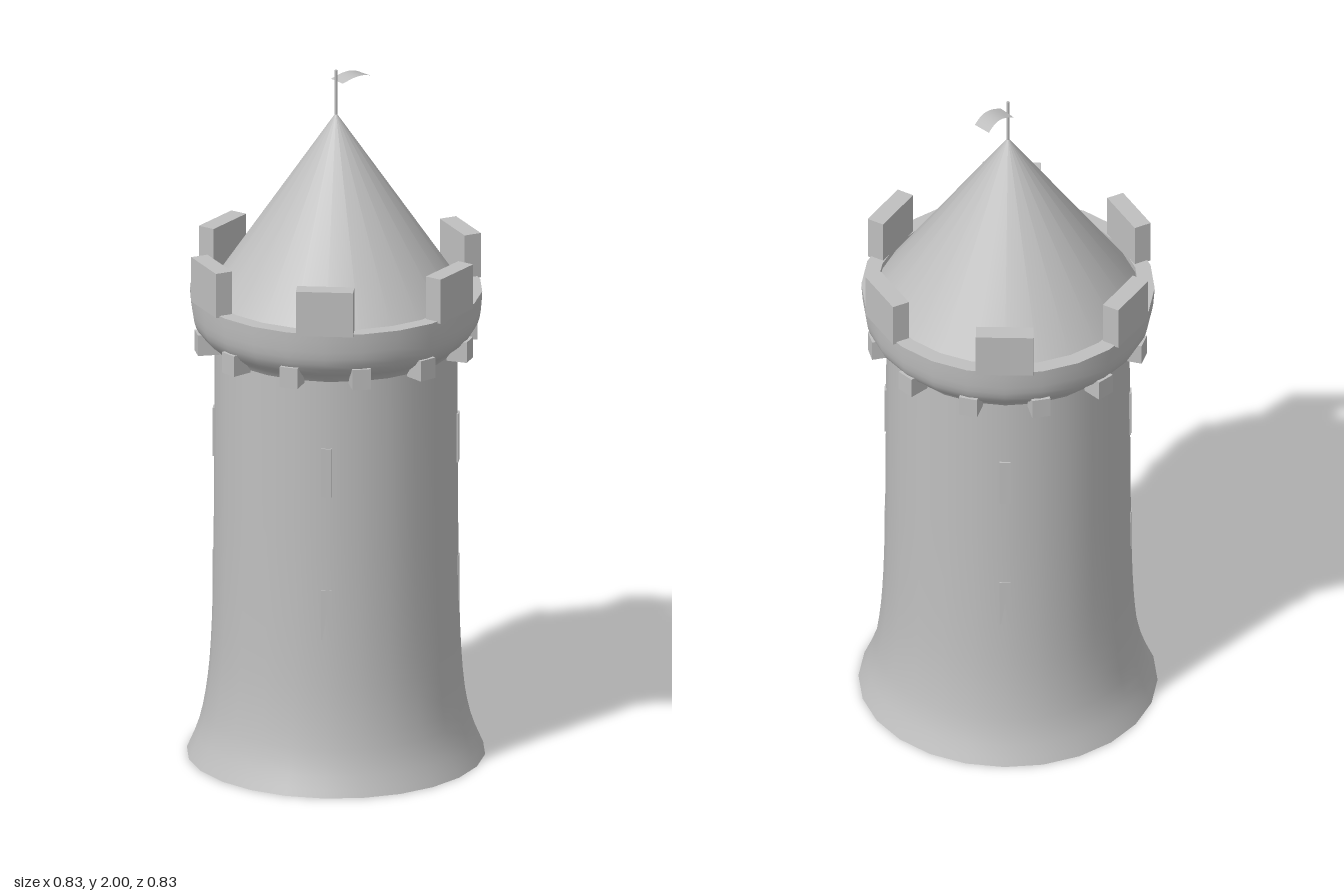
import * as THREE from 'three';

const SIDES = 24;
const stone = new THREE.MeshStandardMaterial({ color: 0xbfbfbf });
stone.name = 'grey stone';
const cloth = new THREE.MeshStandardMaterial({ color: 0xbfbfbf, side: THREE.DoubleSide });
cloth.name = 'grey cloth';

export function createModel() {
  const tower = new THREE.Group();
  tower.name = 'tower';

  const add = (name, geometry, material = stone, parent = tower) => {
    const mesh = new THREE.Mesh(geometry, material);
    mesh.name = name;
    parent.add(mesh);
    return mesh;
  };

  // Surface of revolution from [radius, height] pairs, smoothed along a curve if asked
  const lathe = (name, pairs, smooth = 0) => {
    let points = pairs.map(([r, y]) => new THREE.Vector2(r, y));
    if (smooth) points = new THREE.SplineCurve(points).getPoints(smooth);
    return add(name, new THREE.LatheGeometry(points, SIDES));
  };

  // Ring of identical boxes whose outer faces lie at the given radius
  const boxRing = (name, count, startDeg, [w, h, d], outer, y) => {
    const ring = new THREE.Group();
    ring.name = name + 'Ring';
    tower.add(ring);
    const geometry = new THREE.BoxGeometry(w, h, d);
    geometry.translate(0, y, outer - d / 2);
    for (let i = 0; i < count; i++) {
      const box = add(name, geometry, stone, ring);
      box.rotation.y = THREE.MathUtils.degToRad(startDeg + (i * 360) / count);
    }
  };

  // Flared shaft and its underside
  lathe('shaft', [[0.416, 0], [0.38, 0.09], [0.358, 0.21], [0.347, 0.36],
    [0.342, 0.58], [0.34, 0.85], [0.338, 1.2]], 18);
  lathe('underside', [[0, 0], [0.416, 0]]);

  // Rounded parapet with a flat rim and a low inner wall
  lathe('parapet', [[0.336, 1.195], [0.35, 1.215], [0.375, 1.235], [0.395, 1.265],
    [0.404, 1.305], [0.408, 1.36]], 10);
  lathe('parapetRim', [[0.408, 1.36], [0.364, 1.36]]);
  lathe('parapetInnerWall', [[0.364, 1.36], [0.364, 1.32]]);

  // Battlements, supporting corbels and arrow slits
  boxRing('merlon', 6, 15, [0.16, 0.13, 0.05], 0.408, 1.42);
  boxRing('corbel', 12, 0, [0.052, 0.06, 0.085], 0.395, 1.222);
  boxRing('upperSlit', 4, 45, [0.03, 0.142, 0.02], 0.343, 0.931);
  boxRing('lowerSlit', 4, 45, [0.03, 0.145, 0.02], 0.343, 0.513);

  // Conical roof
  lathe('roof', [[0.366, 1.34], [0, 1.875]]);

  // Flagpole
  add('flagpole', new THREE.CylinderGeometry(0.004, 0.004, 0.15, 8)).position.y = 1.925;

  // Flag: a flat sheet that arches and sways along its length
  const flag = new THREE.PlaneGeometry(0.102, 0.054, 8, 1);
  flag.rotateX(-Math.PI / 2);
  const p = flag.attributes.position;
  for (let i = 0; i < p.count; i++) {
    const t = p.getX(i) / 0.102 + 0.5;
    const arch = Math.sin(Math.PI * t);
    const z = p.getZ(i);
    p.setXYZ(i, 0.005 + 0.102 * t + 0.1 * z * (t - 0.5),
      1.965 + 0.012 * arch, z - 0.002 + 0.008 * arch - 0.005 * t);
  }
  flag.computeVertexNormals();
  add('flag', flag, cloth);

  return tower;
}
